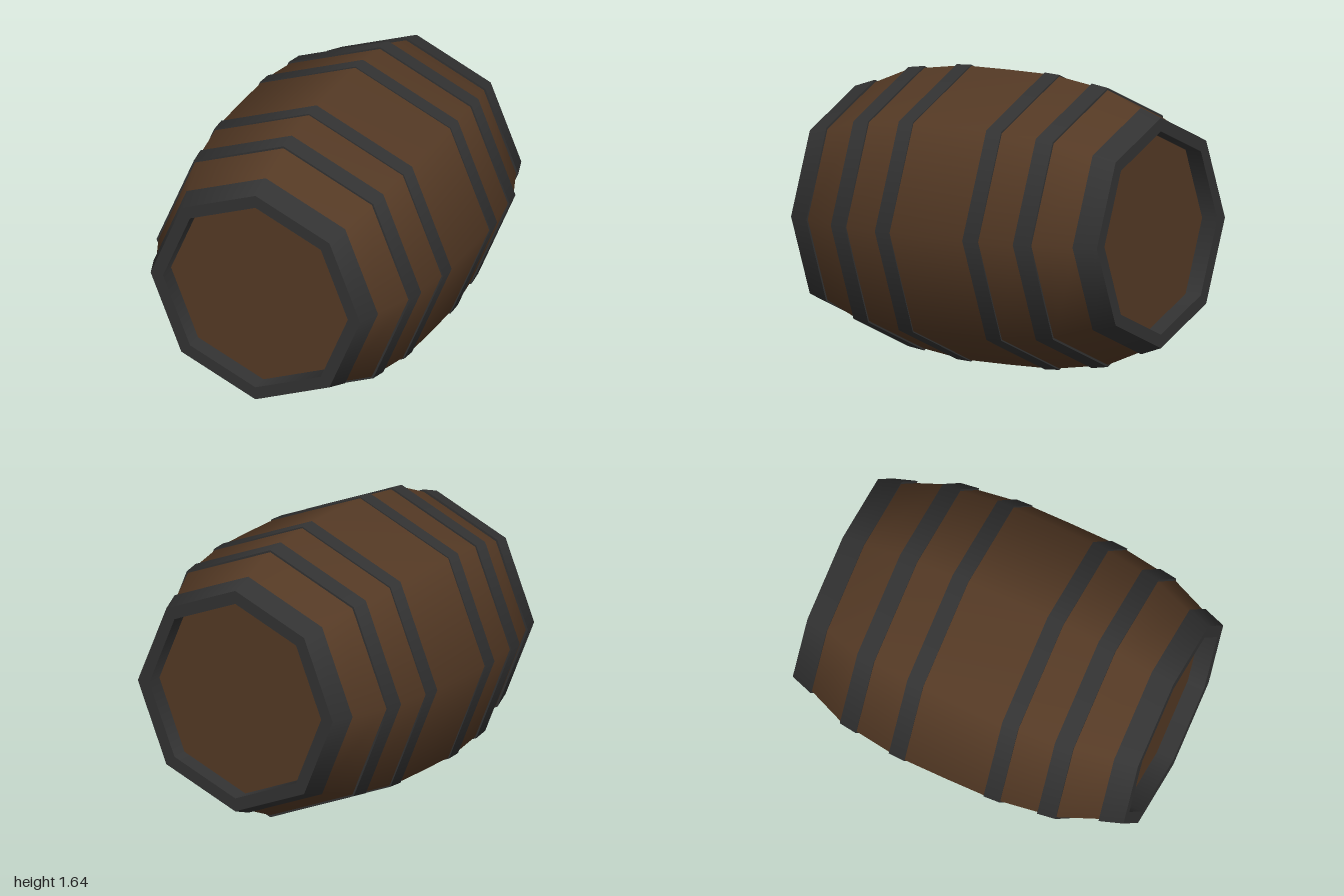
import * as THREE from 'three';
import { mergeGeometries } from 'three/addons/utils/BufferGeometryUtils.js';

const SIDES = 8;
const AXIS_HEIGHT = 0.822;

// Octagonal lathe around z; points are [radius, z], listed so the outside faces out.
function lathe(points) {
  const geometry = new THREE.LatheGeometry(points.map(([r, z]) => new THREE.Vector2(r, z)), SIDES);
  return geometry.rotateX(Math.PI / 2);
}

// One lathe per profile segment: smooth around the barrel, sharp along the profile.
function creasedLathe(points) {
  return mergeGeometries(points.slice(1).map((p, i) => lathe([points[i], p])));
}

export function createModel() {
  const wood = new THREE.MeshStandardMaterial({ color: 0x553a25 });
  wood.name = 'brown wood';
  const iron = new THREE.MeshStandardMaterial({ color: 0x333333 });
  iron.name = 'dark iron';

  const barrel = new THREE.Group();
  barrel.name = 'barrel';
  barrel.position.y = AXIS_HEIGHT;

  function add(parent, name, geometry, material) {
    const mesh = new THREE.Mesh(geometry, material);
    mesh.name = name;
    parent.add(mesh);
  }

  // Bulging staves, mirrored from half a profile
  const half = [[0.817, 0], [0.815, 0.24], [0.809, 0.33], [0.777, 0.55], [0.762, 0.65], [0.665, 0.88]];
  const profile = [...half.slice(1).reverse().map(([r, z]) => [r, -z]), ...half];
  add(barrel, 'staves', lathe(profile), wood);

  // Each end: rim hoop, recessed lid and two body hoops
  for (const [side, turn] of [['front', 0], ['back', Math.PI]]) {
    const end = new THREE.Group();
    end.name = side + 'End';
    end.rotation.y = turn;
    barrel.add(end);

    add(end, side + 'RimHoop', creasedLathe([
      [0.655, 0.87], [0.683, 0.87], [0.638, 1], [0.563, 1], [0.563, 0.9],
    ]), iron);
    add(end, side + 'Lid', lathe([[0.563, 0.9], [0, 0.9]]), wood);

    add(end, side + 'OuterHoop', creasedLathe([
      [0.765, 0.548], [0.788, 0.548], [0.773, 0.652], [0.75, 0.652],
    ]), iron);
    add(end, side + 'InnerHoop', creasedLathe([
      [0.8, 0.24], [0.822, 0.24], [0.817, 0.335], [0.795, 0.335],
    ]), iron);
  }

  const model = new THREE.Group();
  model.name = 'barrelModel';
  model.add(barrel);
  return model;
}
